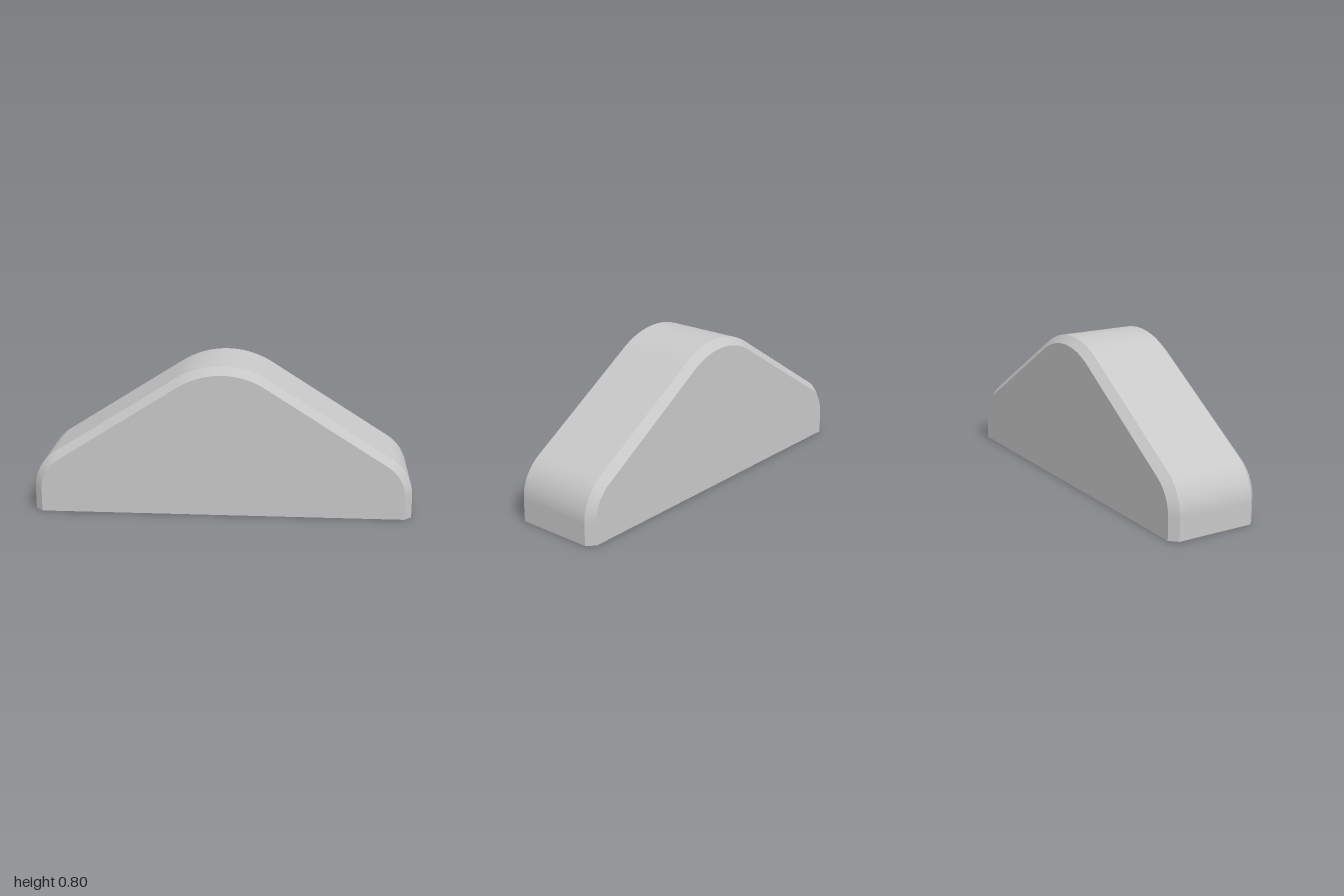
import * as THREE from 'three';

const SLOPE = THREE.MathUtils.degToRad(32.4); // roof pitch
const TOP_R = 0.46, CORNER_R = 0.24, BEVEL = 0.04, HALF_DEPTH = 0.25;

// Rounded gable outline, right foot over the ridge to left foot, inset by d
function outline(d) {
  const s = Math.sin(SLOPE), c = Math.cos(SLOPE);
  const topY = 0.8 - TOP_R, cornerX = 1 - CORNER_R;
  const cornerY = topY + (TOP_R - CORNER_R - s * cornerX) / c;
  const half = [new THREE.Vector2(1 - d, 0)];
  const arc = (cx, cy, r, a0, a1, n) => {
    for (let i = 0; i <= n; i++) {
      const a = a0 + (a1 - a0) * i / n;
      half.push(new THREE.Vector2(cx + r * Math.cos(a), cy + r * Math.sin(a)));
    }
  };
  arc(cornerX, cornerY, CORNER_R - d, 0, Math.PI / 2 - SLOPE, 12);
  arc(0, topY, TOP_R - d, Math.PI / 2 - SLOPE, Math.PI / 2, 12);
  const mirrored = half.slice(0, -1).reverse().map(p => new THREE.Vector2(-p.x, p.y));
  return half.concat(mirrored);
}

// Smooth strip joining two outlines at different depths
function band(p0, z0, p1, z1) {
  const pos = [], index = [];
  p0.forEach((p, i) => {
    pos.push(p.x, p.y, z0, p1[i].x, p1[i].y, z1);
    if (i < p0.length - 1) {
      const a = i * 2;
      index.push(a, a + 2, a + 3, a, a + 3, a + 1);
    }
  });
  const g = new THREE.BufferGeometry();
  g.setAttribute('position', new THREE.Float32BufferAttribute(pos, 3));
  g.setIndex(index);
  g.computeVertexNormals();
  return g;
}

export function createModel() {
  const group = new THREE.Group();
  group.name = 'gableBlock';
  const grey = new THREE.MeshStandardMaterial({ color: 0xc8c8c8 });
  grey.name = 'light grey';
  const add = (name, geometry) => {
    const mesh = new THREE.Mesh(geometry, grey);
    mesh.name = name;
    group.add(mesh);
    return mesh;
  };

  const outer = outline(0), inner = outline(BEVEL);
  const zEdge = HALF_DEPTH - BEVEL;

  // Rounded outer wall and the chamfers on both sides
  add('outerWall', band(outer, -zEdge, outer, zEdge));
  add('frontChamfer', band(outer, zEdge, inner, HALF_DEPTH));
  add('backChamfer', band(inner, -HALF_DEPTH, outer, -zEdge));

  // Flat front and back
  const face = new THREE.ShapeGeometry(new THREE.Shape(inner));
  add('frontFace', face).position.z = HALF_DEPTH;
  const back = add('backFace', face);
  back.rotation.y = Math.PI;
  back.position.z = -HALF_DEPTH;

  // Underside with clipped corners
  const x = 1 - BEVEL;
  const base = new THREE.Shape([
    [1, -zEdge], [1, zEdge], [x, HALF_DEPTH], [-x, HALF_DEPTH],
    [-1, zEdge], [-1, -zEdge], [-x, -HALF_DEPTH], [x, -HALF_DEPTH],
  ].map(([px, py]) => new THREE.Vector2(px, py)));
  add('underside', new THREE.ShapeGeometry(base).rotateX(Math.PI / 2));

  return group;
}
